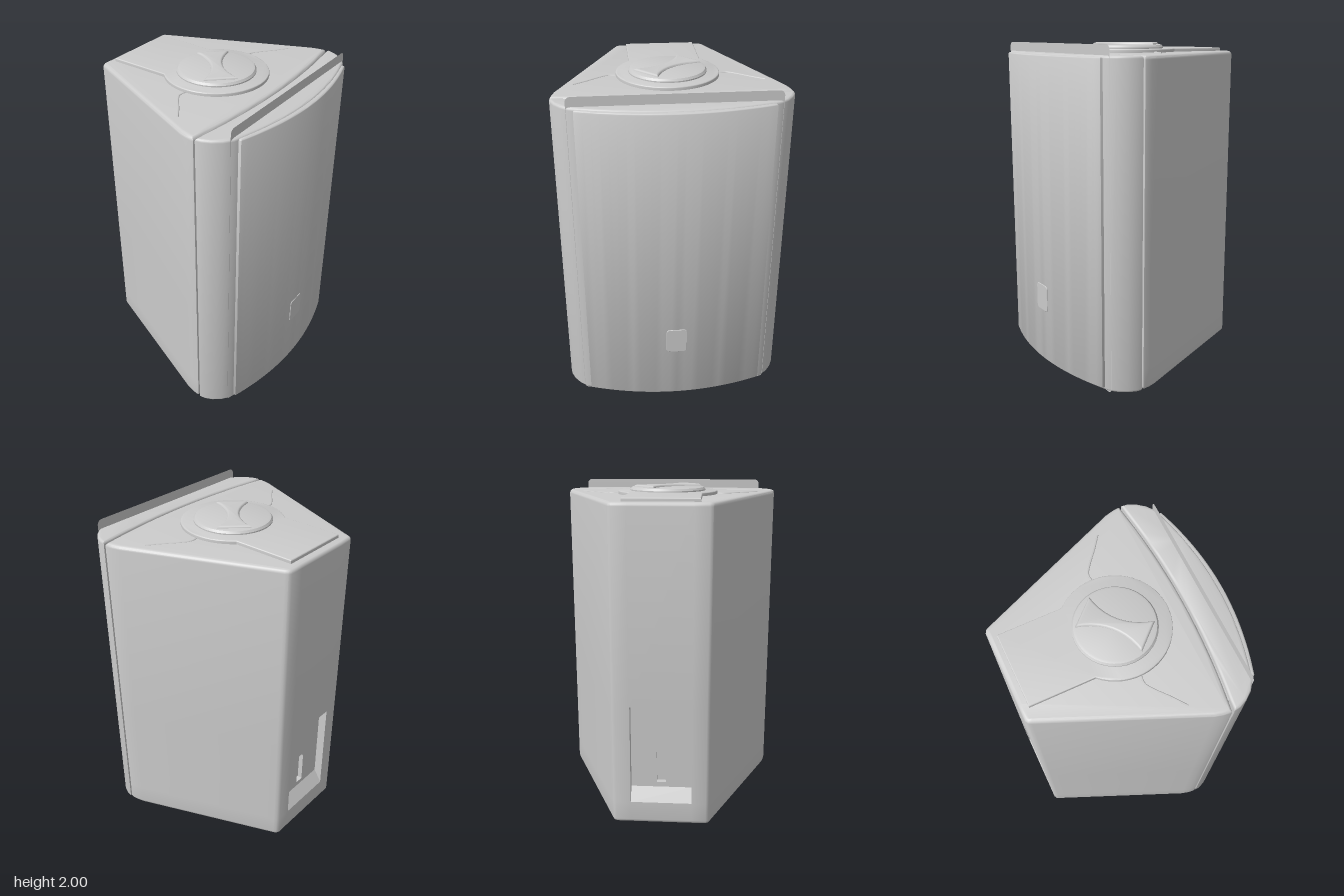
import * as THREE from 'three';
import { toCreasedNormals } from 'three/addons/utils/BufferGeometryUtils.js';

const grey = new THREE.MeshStandardMaterial({ color: 0xcccccc });
const thin = new THREE.MeshStandardMaterial({ color: 0xcccccc, side: THREE.DoubleSide });
const Y0 = 0.055, Y1 = 1.945;

function add(parent, name, geometry, material = grey) {
  const mesh = new THREE.Mesh(geometry, material);
  mesh.name = name;
  parent.add(mesh);
  return mesh;
}

function fromTriangles(positions) {
  const g = new THREE.BufferGeometry();
  g.setAttribute('position', new THREE.Float32BufferAttribute(positions, 3));
  g.computeVertexNormals();
  return g;
}

// Shallow arc from x0 to x1, z = mid at the centre and edge at |x| = half
function arc(x0, x1, half, mid, edge, n = 16) {
  return Array.from({ length: n + 1 }, (_, i) => {
    const x = x0 + (x1 - x0) * i / n;
    return [x, mid + (edge - mid) * (x / half) ** 2];
  });
}

// Mitred inward offset of an [x, z] outline
function inset(pts, d) {
  return pts.map((p, i) => {
    const a = pts[(i + pts.length - 1) % pts.length], b = pts[(i + 1) % pts.length];
    const n = [[a, p], [p, b]].map(([s, e]) => {
      const l = Math.hypot(e[0] - s[0], e[1] - s[1]);
      return [-(e[1] - s[1]) / l, (e[0] - s[0]) / l];
    });
    const k = d / (1 + n[0][0] * n[1][0] + n[0][1] * n[1][1]);
    return [p[0] - k * (n[0][0] + n[1][0]), p[1] - k * (n[0][1] + n[1][1])];
  });
}

// Upright prism over an [x, z] outline with rounded top and bottom edges.
// Quads for which skip(a, b, low, high) is true are left open.
function prism(pts, y0, y1, r, levels = [], skip = () => false) {
  const rings = [], steps = 4;
  for (let k = 0; k <= steps; k++) {
    const t = k / steps * Math.PI / 2;
    rings.push({ y: y0 + r * (1 - Math.sin(t)), d: r * (1 - Math.cos(t)) });
  }
  rings.reverse();
  const top = rings.map(({ y, d }) => ({ y: y0 + y1 - y, d })).reverse();
  const all = [...rings, ...levels.map(y => ({ y, d: 0 })), ...top];
  // order every ring from bottom to top
  all.sort((a, b) => a.y - b.y);
  const loops = all.map(({ y, d }) => inset(pts, d).map(([x, z]) => [x, y, z]));
  const pos = [];
  for (let j = 0; j < loops.length - 1; j++) {
    for (let i = 0; i < pts.length; i++) {
      const n = (i + 1) % pts.length;
      if (skip(pts[i], pts[n], all[j].y, all[j + 1].y)) continue;
      const [a, b, c, d] = [loops[j][i], loops[j][n], loops[j + 1][n], loops[j + 1][i]];
      pos.push(...a, ...b, ...c, ...a, ...c, ...d);
    }
  }
  const lo = loops[0], hi = loops[loops.length - 1];
  const flat = hi.map(([x, , z]) => new THREE.Vector2(x, -z));
  for (const [a, b, c] of THREE.ShapeUtils.triangulateShape(flat, [])) {
    pos.push(...hi[a], ...hi[b], ...hi[c], ...lo[a], ...lo[c], ...lo[b]);
  }
  return toCreasedNormals(fromTriangles(pos), 0.6);
}

function roundedRect(w, h, r) {
  const s = new THREE.Shape(), x = w / 2 - r, y = h / 2 - r;
  s.absarc(x, y, r, 0, Math.PI / 2);
  s.absarc(-x, y, r, Math.PI / 2, Math.PI);
  s.absarc(-x, -y, r, Math.PI, Math.PI * 1.5);
  s.absarc(x, -y, r, Math.PI * 1.5, Math.PI * 2);
  return s;
}

// Panel, adjusting knob and creases on one end of the cabinet
function makeEnd(name) {
  const end = new THREE.Group();
  end.name = name;

  // keyhole-shaped panel around the knob
  const a0 = Math.asin(0.215 / 0.3), outline = [];
  for (let i = 0; i <= 40; i++) {
    const t = -a0 + (Math.PI * 2 - 2 * a0) * i / 40 + 2 * a0;
    outline.push([-0.3 * Math.sin(t), -0.3 * Math.cos(t)]);
  }
  outline.push([0.215, -0.575], [-0.215, -0.575]);
  add(end, 'keyholePanel', prism(outline, Y1 - 0.03, 1.965, 0.006));

  // knob base
  const profile = [[0, 1.94], [0.227, 1.94], [0.227, 1.972], [0.218, 1.984], [0.205, 1.988], [0, 1.988]];
  const disc = new THREE.LatheGeometry(profile.map(p => new THREE.Vector2(...p)), 40);
  add(end, 'knobBase', toCreasedNormals(disc, 0.5));

  // waisted finger grip across the knob
  const grip = [];
  for (const s of [1, -1]) {
    for (let i = 0; i <= 10; i++) {
      const u = -1 + i / 5;
      grip.push([s * u * 0.185, s * (0.035 + 0.06 * u * u)]);
    }
  }
  add(end, 'knobGrip', prism(grip, 1.96, 2, 0.014)).rotation.y = 0.75;

  // creases running out to the sides
  for (const s of [1, -1]) {
    const path = new THREE.CatmullRomCurve3(
      [[0.3, 0.005], [0.345, 0.003], [0.39, 0.03], [0.47, 0.095], [0.545, 0.15]]
        .map(([x, z]) => new THREE.Vector3(s * x, Y1 - 0.001, z)));
    add(end, s > 0 ? 'leftCrease' : 'rightCrease', new THREE.TubeGeometry(path, 24, 0.006, 6));
  }
  return end;
}

export function createModel() {
  const model = new THREE.Group();
  model.name = 'loudspeaker';

  // wedge cabinet, open where the connector bay sits in the back
  const side = [[0.665, 0.325], [0.66, 0.29], [0.648, 0.245], [0.292, -0.595], [0.283, -0.612], [0.265, -0.622]];
  const mirror = pts => pts.map(([x, z]) => [-x, z]).reverse();
  const W = 0.18, B = -0.622, LOW = 0.19, HIGH = 0.79;
  const cabinet = [...arc(-0.664, 0.664, 0.664, 0.394, 0.338), ...side, [W, B], [-W, B], ...mirror(side)];
  add(model, 'cabinet', prism(cabinet, Y0, Y1, 0.022, [LOW, HIGH],
    (a, b, lo, hi) => a[0] === W && b[0] === -W && lo >= LOW - 1e-6 && hi <= HIGH + 1e-6));

  // connector bay: sloping frame, panel with a slot, and slot floor
  const bay = new THREE.Group();
  bay.name = 'connectorBay';
  model.add(bay);
  const D = -0.57, IN = 0.27;
  const outer = [[W, LOW, B], [-W, LOW, B], [-W, HIGH, B], [W, HIGH, B]];
  const inner = [[W, IN, D], [-W, IN, D], [-W, HIGH, D], [W, HIGH, D]];
  const walls = [];
  for (let i = 0; i < 4; i++) {
    const n = (i + 1) % 4;
    walls.push(...outer[i], ...outer[n], ...inner[n], ...outer[i], ...inner[n], ...inner[i]);
  }
  add(bay, 'bayWalls', fromTriangles(walls), thin);
  const panel = new THREE.Shape([[W, IN], [W, HIGH], [-W, HIGH], [-W, IN]].map(p => new THREE.Vector2(...p)));
  const slot = new THREE.Path();
  slot.moveTo(-0.028, 0.3);
  slot.lineTo(0.028, 0.3);
  slot.absarc(0, 0.49, 0.028, 0, Math.PI);
  slot.closePath();
  panel.holes.push(slot);
  add(bay, 'bayPanel', new THREE.ExtrudeGeometry(panel, { depth: 0.03, bevelEnabled: false })).position.z = D;
  add(bay, 'slotFloor', new THREE.BoxGeometry(0.1, 0.28, 0.01)).position.set(0, 0.41, D + 0.035);

  // front bezel behind the grille, parted from the cabinet by a fine seam
  const cheek = [[0.665, 0.35], [0.66, 0.385], [0.64, 0.43], [0.605, 0.475], [0.56, 0.51]];
  const bezel = [
    ...mirror(cheek).reverse(),
    ...arc(-0.53, 0.53, 0.53, 0.6, 0.52),
    ...[...cheek].reverse(),
    ...arc(0.6, -0.6, 0.665, 0.402, 0.346),
  ];
  add(model, 'frontBezel', prism(bezel, Y0, Y1, 0.015));
  const core = [...arc(-0.6, 0.6, 0.66, 0.42, 0.37), [0.6, 0.25], [-0.6, 0.25]];
  add(model, 'seamCore', prism(core, Y0 + 0.02, Y1 - 0.02, 0.005));

  // curved grille with a small badge plate
  const grille = [[-0.535, 0.49], ...arc(-0.535, 0.535, 0.535, 0.624, 0.535, 24), [0.535, 0.49]];
  add(model, 'grille', prism(grille, 0.068, 1.937, 0.012));
  const badge = new THREE.ExtrudeGeometry(roundedRect(0.12, 0.16, 0.018),
    { depth: 0.015, bevelEnabled: true, bevelSize: 0.002, bevelThickness: 0.002, bevelSegments: 1 });
  add(model, 'badgePlate', badge).position.set(0, 0.48, 0.61);

  // thin inner board showing beyond the top and bottom
  const board = new THREE.ShapeGeometry(roundedRect(1.15, 1.955, 0.03));
  add(model, 'innerBoard', board, thin).position.set(0, 1.0225, 0.5);

  // matching ends, the lower one turned over
  model.add(makeEnd('topEnd'));
  const bottom = makeEnd('bottomEnd');
  bottom.scale.y = -1;
  bottom.position.y = 2;
  model.add(bottom);

  // small catches under the front seam
  for (const s of [1, -1]) {
    add(model, s > 0 ? 'leftCatch' : 'rightCatch', new THREE.BoxGeometry(0.06, 0.035, 0.025))
      .position.set(s * 0.4, 0.05, 0.395);
  }
  return model;
}
